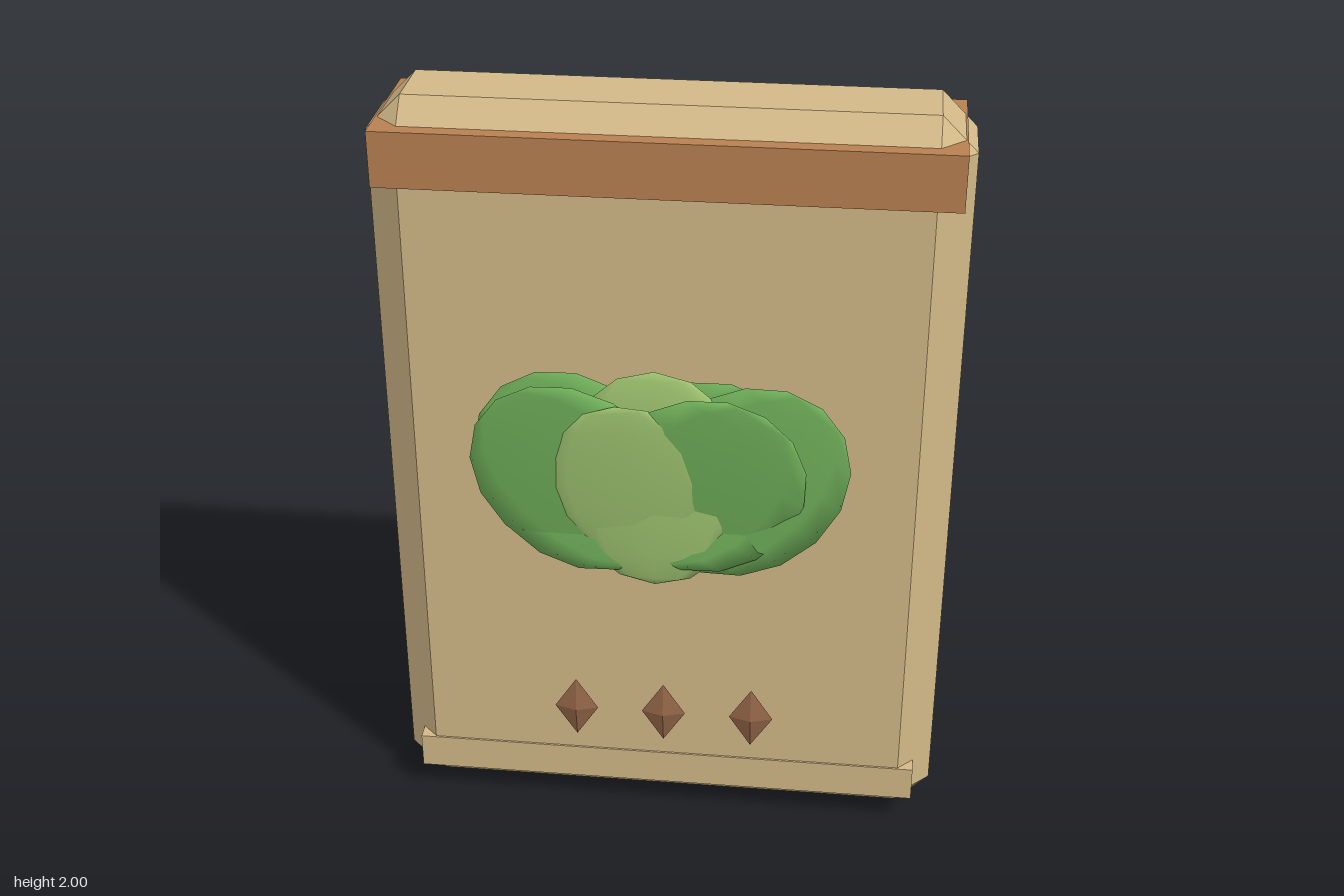
import * as THREE from 'three';
import { ConvexGeometry } from 'three/addons/geometries/ConvexGeometry.js';

const mat = (name, color, flatShading = false) => {
  const m = new THREE.MeshStandardMaterial({ color, flatShading });
  m.name = name;
  return m;
};

// Box with every edge cut at 45 degrees
function chamferedBox(w, h, d, c) {
  const half = [w / 2, h / 2, d / 2];
  const points = [];
  for (const sx of [-1, 1]) for (const sy of [-1, 1]) for (const sz of [-1, 1]) {
    const s = [sx, sy, sz];
    for (let outer = 0; outer < 3; outer++) {
      points.push(new THREE.Vector3(...half.map((v, i) => s[i] * (i === outer ? v : v - c))));
    }
  }
  return new ConvexGeometry(points);
}

export function createModel() {
  const model = new THREE.Group();
  model.name = 'seedPacket';
  const paper = mat('tan paper', 0xd2b887);
  const trim = mat('brown trim', 0xb88050);
  const seedColor = mat('seed brown', 0x936548, true);
  const green = mat('leaf green', 0x70b05a);
  const lightGreen = mat('heart green', 0x9fc470);

  const add = (name, geometry, material, x, y, z, parent = model) => {
    const mesh = new THREE.Mesh(geometry, material);
    mesh.name = name;
    mesh.position.set(x, y, z);
    parent.add(mesh);
    return mesh;
  };

  // Packet body with its folded top band and bottom seam
  add('packetBody', chamferedBox(1.445, 2, 0.35, 0.088), paper, 0, 1, -0.06);
  add('topBand', new THREE.BoxGeometry(1.395, 0.14, 0.37), trim, 0, 1.872, -0.06);
  add('bottomSeam', new THREE.BoxGeometry(1.35, 0.098, 0.36), paper, 0, 0.129, -0.06);

  // Row of seeds
  const seed = new THREE.OctahedronGeometry(1).scale(0.058, 0.09, 0.018);
  for (const x of [-0.235, 0, 0.235]) add('seed', seed, seedColor, x, 0.33, 0.138);

  // Leafy head: flattened leaves fanned around a pale heart
  const head = new THREE.Group();
  head.name = 'leafyHead';
  model.add(head);
  const leaf = (name, material, [x, y, z], [rx, ry, rz], tilt, lean) => {
    const geometry = new THREE.SphereGeometry(1, 8, 8).scale(rx, ry, rz);
    add(name, geometry, material, x, y, z, head).rotation.set(lean, 0, tilt);
  };
  const outer = [0.243, 0.292, 0.012];
  leaf('rightLeaf', green, [0.205, 1.085, 0.19], outer, -0.7, 0);
  for (const s of [-1, 1]) {
    leaf('leftLeaf', green, [-0.21, 1.083, 0.19 + s * 0.015], outer, 0.7, s * 0.09);
    leaf('middleLeaf', green, [0.11, 1.085, 0.19 + s * 0.017], [0.25, 0.263, 0.013], -0.6, s * 0.12);
    leaf('innerLeaf', lightGreen, [-0.08, 1.08, 0.19 + s * 0.02], [0.212, 0.23, 0.016], 0.12, s * 0.1);
  }
  leaf('heart', lightGreen, [-0.015, 1.08, 0.19], [0.235, 0.305, 0.026], 0, 0);
  return model;
}
